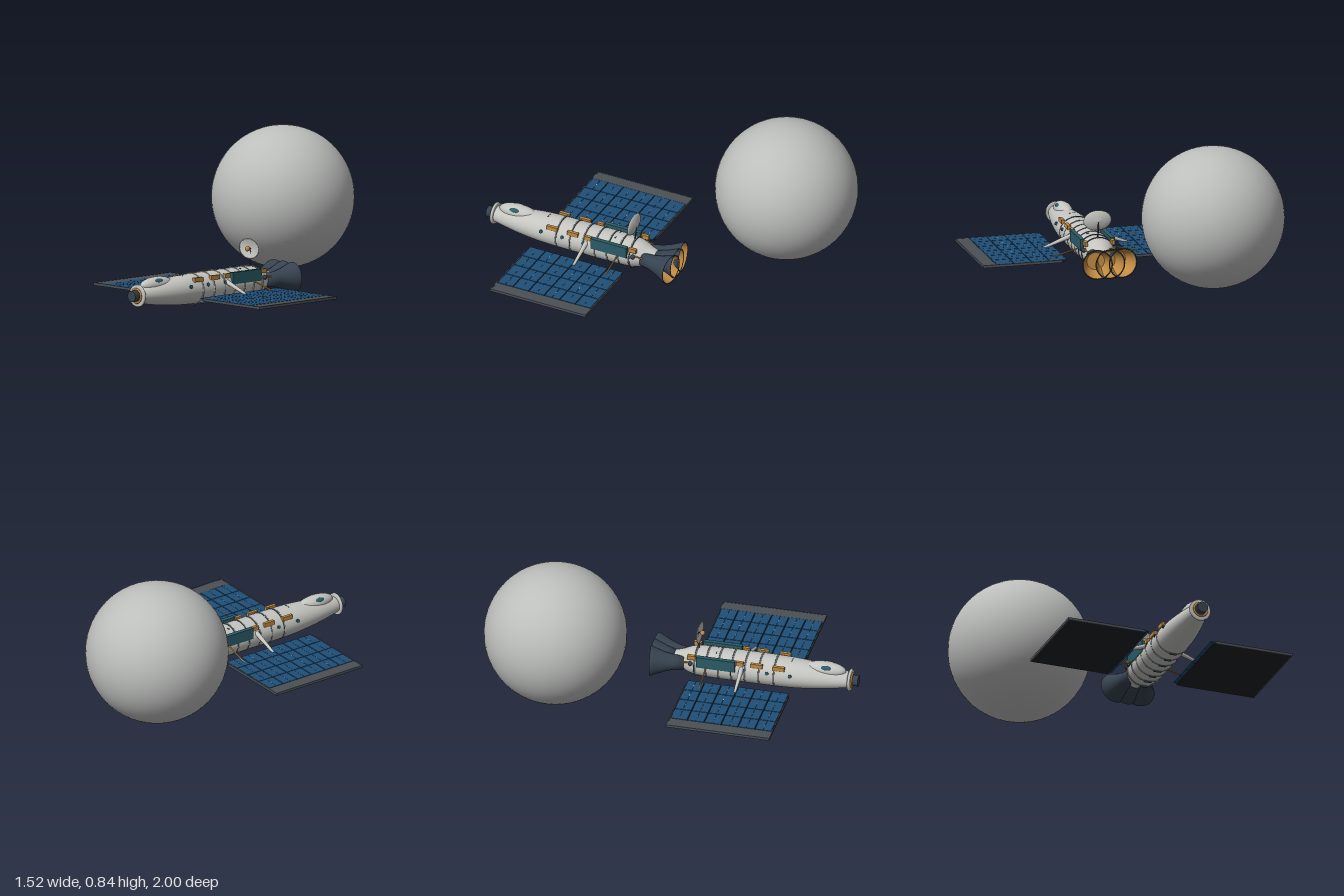
import * as THREE from 'three';

const mat = (name, color, side = THREE.FrontSide) => {
  const m = new THREE.MeshStandardMaterial({ color, side });
  m.name = name;
  return m;
};

export function createModel() {
  const root = new THREE.Group();
  root.name = 'spacecraftAndMoon';

  const hullGrey = mat('hullGrey', 0xc4c4c0);
  const moonGrey = mat('moonGrey', 0xbcbebc);
  const slate = mat('slate', 0x364350);
  const frameGrey = mat('frameGrey', 0x4b5056);
  const black = mat('panelBlack', 0x1b2126);
  const blue = mat('cellBlue', 0x1f4f78);
  const amber = mat('amber', 0xc08a42);
  const teal = mat('teal', 0x2b5b66);
  const paleBlue = mat('paleBlue', 0x9dbccb);

  const add = (parent, name, geo, material, x = 0, y = 0, z = 0) => {
    const m = new THREE.Mesh(geo, material);
    m.name = name;
    m.position.set(x, y, z);
    parent.add(m);
    return m;
  };
  const box = (parent, name, material, w, h, d, x, y, z) =>
    add(parent, name, new THREE.BoxGeometry(w, h, d), material, x, y, z);
  // Lathe along z from [radius, z] pairs
  const latheZ = (pts, seg = 40) =>
    new THREE.LatheGeometry(pts.map(p => new THREE.Vector2(...p)), seg).rotateX(Math.PI / 2);
  // Tapered rod between two points
  const rod = (parent, name, material, a, b, ra, rb) => {
    const A = new THREE.Vector3(...a), B = new THREE.Vector3(...b);
    const m = add(parent, name, new THREE.CylinderGeometry(rb, ra, A.distanceTo(B), 14), material);
    m.position.copy(A).lerp(B, 0.5);
    m.quaternion.setFromUnitVectors(new THREE.Vector3(0, 1, 0), B.sub(A).normalize());
    return m;
  };

  // Moon
  add(root, 'moon', new THREE.SphereGeometry(0.395, 64, 40), moonGrey, -0.365, 0.445, -0.605);

  // Ship, with its long axis through the group origin
  const ship = new THREE.Group();
  ship.name = 'ship';
  ship.position.set(0.1, 0.093, 0);
  root.add(ship);

  // Hull: slightly flattened spindle
  const profile = new THREE.SplineCurve([
    [0.04, -0.06], [0.058, 0], [0.084, 0.06], [0.094, 0.14], [0.096, 0.35],
    [0.095, 0.55], [0.09, 0.67], [0.077, 0.79], [0.06, 0.89], [0.048, 0.95],
  ].map(p => new THREE.Vector2(...p))).getPoints(40).map(p => [p.x, p.y]);
  add(ship, 'hull', latheZ([[0, -0.06], ...profile, [0, 0.95]], 48), hullGrey).scale.y = 0.88;

  // Hull ribs
  for (const z of [0.09, 0.155, 0.225, 0.3, 0.375, 0.455, 0.54]) {
    const rib = add(ship, 'hullRib', new THREE.TorusGeometry(0.0945, 0.003, 6, 48), hullGrey, 0, 0, z);
    rib.scale.y = 0.9;
    const seam = add(ship, 'hullSeam', new THREE.TorusGeometry(0.0945, 0.0025, 6, 48), slate, 0, 0, z - 0.004);
    seam.scale.y = 0.895;
    // Keel fin under each rib
    box(ship, 'keelFin', slate, 0.04, 0.01, 0.006, 0, -0.087, z);
  }

  // Docking nose
  add(ship, 'noseDisc', latheZ([[0, 0.945], [0.058, 0.945], [0.062, 0.95], [0.062, 0.957], [0.058, 0.962], [0, 0.962]]), hullGrey);
  add(ship, 'noseRing', new THREE.TorusGeometry(0.038, 0.006, 10, 36), amber, 0, 0, 0.964);
  add(ship, 'nosePort', latheZ([[0, 0.95], [0.031, 0.95], [0.031, 1], [0.031, 1], [0, 1]]), slate);

  // Cockpit blister with side windows
  add(ship, 'cockpit', new THREE.SphereGeometry(1, 32, 20), hullGrey, 0, 0.05, 0.81).scale.set(0.046, 0.043, 0.118);
  for (const s of [-1, 1]) {
    const w = add(ship, 'cockpitWindow', new THREE.SphereGeometry(1, 20, 12), teal, s * 0.032, 0.075, 0.82);
    w.scale.set(0.007, 0.013, 0.032);
    w.rotation.z = s * 0.75;
  }

  // Three engine bells side by side, the outer two canted outward
  const bell = [[0.085, -0.165], [0.075, -0.14], [0.056, -0.09], [0.043, -0.04], [0.038, 0.02]];
  for (const i of [-1, 0, 1]) {
    const engine = new THREE.Group();
    engine.name = 'engine';
    engine.position.x = i * 0.05;
    engine.rotation.y = -i * 0.14;
    ship.add(engine);
    const pts = i ? bell : bell.slice(0, 4);
    add(engine, 'engineBell', latheZ([[0.079, -0.165], ...pts, [0, pts.at(-1)[1]]]), slate);
    add(engine, 'engineLiner', latheZ([...pts.map(([r, z]) => [r - 0.006, z]).reverse()]), amber);
    add(engine, 'engineThroat', new THREE.CircleGeometry(0.05, 24).rotateY(Math.PI), amber, 0, 0, -0.085);
    if (i) rod(ship, 'fuelLine', amber, [i * 0.078, 0.02, 0], [i * 0.082, 0.03, 0.07], 0.004, 0.004);
  }

  // Fittings mirrored on both flanks
  for (const s of [-1, 1]) {
    box(ship, 'radiatorBox', teal, 0.024, 0.065, 0.22, s * 0.086, 0.043, 0.21);
    for (const [z, d] of [[0.565, 0.065], [0.44, 0.065], [0.345, 0.04], [0.07, 0.045]]) {
      box(ship, 'equipmentBox', amber, 0.018, 0.024, d, s * 0.077, 0.06, z);
    }
    for (const z of [0.63, 0.5, 0.37]) {
      const port = add(ship, 'porthole', new THREE.CylinderGeometry(0.01, 0.01, 0.008, 16), teal, s * 0.0915, 0.027, z);
      port.rotation.z = Math.PI / 2 + s * 0.3;
    }
    add(ship, 'rearThruster', new THREE.SphereGeometry(0.013, 14, 10), slate, s * 0.088, 0.025, 0.065);
    rod(ship, 'wingStrut', hullGrey, [s * 0.08, 0.03, 0.355], [s * 0.24, -0.028, 0.355], 0.014, 0.007);
    rod(ship, 'wingBrace', amber, [s * 0.07, 0.02, 0.155], [s * 0.245, -0.028, 0.155], 0.004, 0.004);
  }
  // Small hatches along the spine
  for (const [z, w] of [[0.625, 0.035], [0.2, 0.07], [0.505, 0.03]]) {
    box(ship, 'spineHatch', slate, w, 0.008, 0.005, 0, 0.078, z);
  }

  // Dish antenna
  const dish = new THREE.Group();
  dish.name = 'dishAntenna';
  dish.position.set(0, 0.178, 0.09);
  ship.add(dish);
  const bowl = add(dish, 'dishBowl', latheZ([[0, -0.008], [0.04, -0.003], [0.07, 0.005],
    [0.08, 0.012], [0.07, 0.01], [0.04, 0.002], [0, -0.002]]), hullGrey);
  bowl.scale.y = 0.72;
  rod(dish, 'dishFeed', slate, [0, 0, 0], [0, 0, 0.022], 0.003, 0.003);
  add(dish, 'dishKnob', new THREE.SphereGeometry(0.014, 18, 12), amber, 0, 0, 0.024);
  rod(dish, 'dishMast', slate, [0, -0.11, 0.005], [0, 0, -0.004], 0.004, 0.004);

  // Solar wings
  const z0 = 0.075, z1 = 0.65, rows = 6, pitch = (z1 - z0) / rows, zc = (z0 + z1) / 2;
  for (const s of [-1, 1]) {
    const wing = new THREE.Group();
    wing.name = s > 0 ? 'leftSolarWing' : 'rightSolarWing';
    wing.position.y = -0.031;
    ship.add(wing);
    box(wing, 'backPlate', black, 0.455, 0.008, z1 - z0, s * 0.4275, -0.003, zc);
    box(wing, 'outerPlate', frameGrey, 0.07, 0.006, z1 - z0, s * 0.62, 0.003, zc);
    for (const z of [z0 - 0.003, z1 + 0.003]) {
      box(wing, 'sideRail', frameGrey, 0.45, 0.015, 0.006, s * 0.435, 0, z);
    }
    box(wing, 'endRail', frameGrey, 0.006, 0.015, z1 - z0 + 0.012, s * 0.657, 0, zc);
    for (let r = 0; r < rows; r++) {
      const z = z0 + pitch * (r + 0.5);
      for (let c = 0; c < 4; c++) {
        const x = s * (0.231 + c * 0.101);
        for (const h of [-1, 1]) {
          box(wing, 'solarCell', blue, 0.097, 0.006, pitch / 2 - 0.003, x, 0.004, z + h * (pitch / 4 - 0.001));
        }
        box(wing, 'cellContact', paleBlue, 0.006, 0.002, 0.006, x, 0.008, z);
      }
    }
  }
  return root;
}
